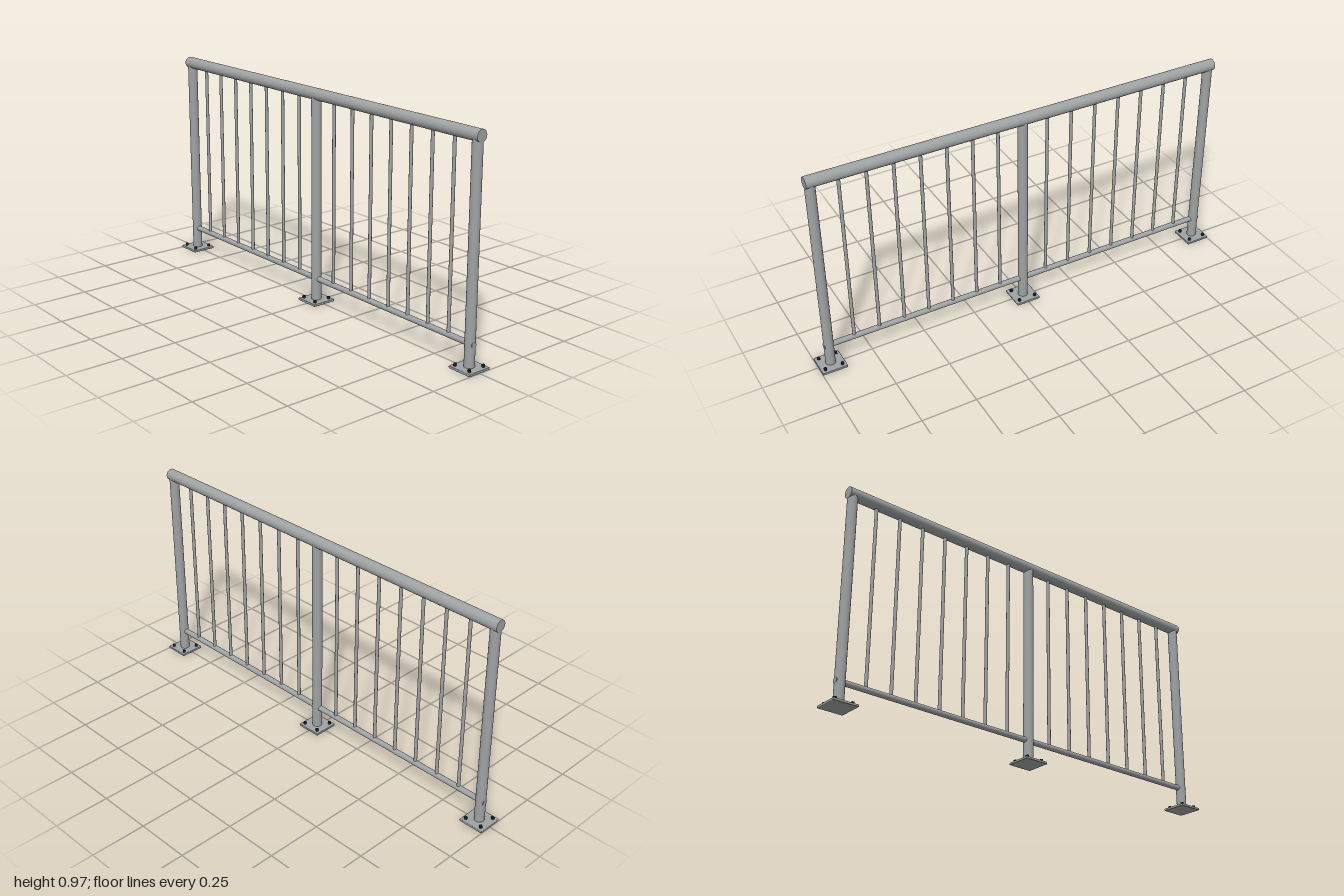
import * as THREE from 'three';
import { RoundedBoxGeometry } from 'three/addons/geometries/RoundedBoxGeometry.js';

const POST_X = 0.943, RAIL_END = 0.965, RAIL_Y = 0.941, LOW_Y = 0.107;

export function createModel() {
  const steel = new THREE.MeshStandardMaterial({ color: 0x9fa2a3 });
  steel.name = 'galvanised steel';
  const dark = new THREE.MeshStandardMaterial({ color: 0x222324 });
  dark.name = 'dark bolt metal';

  const model = new THREE.Group();
  model.name = 'railing';

  const add = (parent, name, geometry, material, x, y, z = 0) => {
    const mesh = new THREE.Mesh(geometry, material);
    mesh.name = name;
    mesh.position.set(x, y, z);
    parent.add(mesh);
    return mesh;
  };

  // Horizontal tubes
  const tube = (radius) =>
    new THREE.CylinderGeometry(radius, radius, RAIL_END * 2, 32).rotateZ(Math.PI / 2);
  add(model, 'handrail', tube(0.026), steel, 0, RAIL_Y);
  add(model, 'lowerRail', tube(0.0125), steel, 0, LOW_Y);

  // Posts with bolted base plates
  const postGeo = new THREE.CylinderGeometry(0.022, 0.022, RAIL_Y - 0.005, 32);
  const plateGeo = new RoundedBoxGeometry(0.114, 0.011, 0.114, 2, 0.003);
  const boltGeo = new THREE.CylinderGeometry(0.007, 0.007, 0.012, 6);
  for (const x of [-POST_X, 0, POST_X]) {
    const post = new THREE.Group();
    post.name = 'postAssembly';
    post.position.x = x;
    model.add(post);
    add(post, 'post', postGeo, steel, 0, (RAIL_Y + 0.005) / 2);
    add(post, 'basePlate', plateGeo, steel, 0, 0.0055);
    for (const sx of [-1, 1])
      for (const sz of [-1, 1]) add(post, 'bolt', boltGeo, dark, sx * 0.039, 0.016, sz * 0.039);
  }

  // Balusters: seven in each bay
  const barGeo = new THREE.CylinderGeometry(0.0075, 0.0075, RAIL_Y - LOW_Y, 16);
  for (let i = 1; i < 8; i++)
    for (const side of [-1, 1])
      add(model, 'baluster', barGeo, steel, (side * i * POST_X) / 8, (RAIL_Y + LOW_Y) / 2);

  return model;
}
